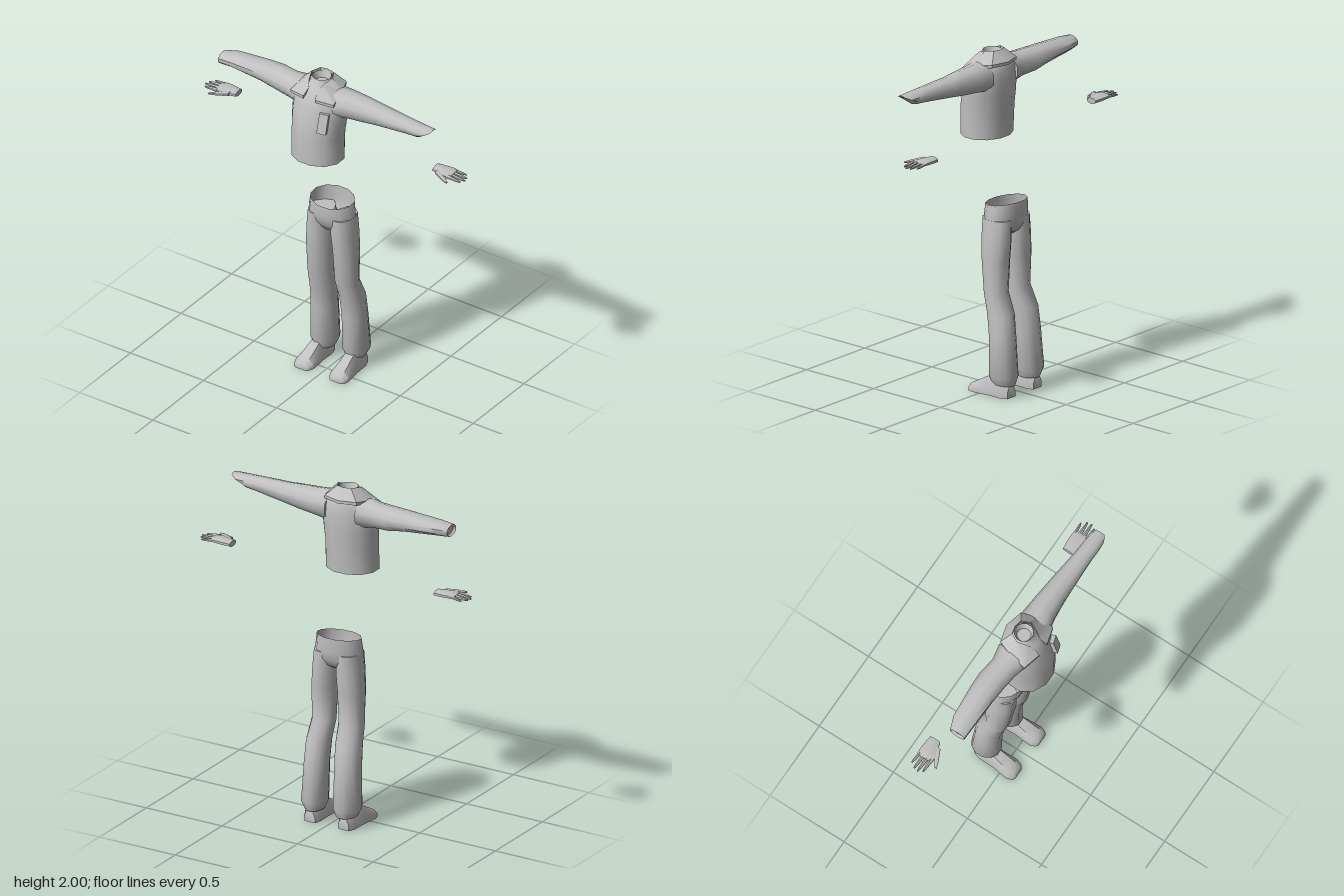
import * as THREE from 'three';
import { toCreasedNormals } from 'three/addons/utils/BufferGeometryUtils.js';

const cloth = new THREE.MeshStandardMaterial({ color: 0xc0c0c0, side: THREE.DoubleSide });
cloth.name = 'plain grey';

// Skin a list of equal-length rings of [x, y, z]; optional caps at both ends.
function loft(name, rings, capStart = true, capEnd = true, crease = 0.8) {
  const n = rings[0].length;
  const pos = rings.flat();
  const idx = [];
  for (let r = 0; r < rings.length - 1; r++) {
    for (let i = 0; i < n; i++) {
      const j = (i + 1) % n;
      const a = r * n + i, b = r * n + j, c = a + n, d = b + n;
      idx.push(a, b, d, a, d, c);
    }
  }
  const last = (rings.length - 1) * n;
  for (let i = 1; i < n - 1; i++) {
    if (capStart) idx.push(0, i + 1, i);
    if (capEnd) idx.push(last, last + i, last + i + 1);
  }
  // Keep faces pointing outward whichever way the rings run
  const mid = new THREE.Box3().setFromPoints(pos.map(p => new THREE.Vector3(...p))).getCenter(new THREE.Vector3());
  let volume = 0;
  const at = k => new THREE.Vector3(...pos[k]).sub(mid);
  for (let k = 0; k < idx.length; k += 3) volume += at(idx[k]).dot(at(idx[k + 1]).cross(at(idx[k + 2])));
  if (volume < 0) idx.reverse();
  const geo = new THREE.BufferGeometry();
  geo.setAttribute('position', new THREE.Float32BufferAttribute(pos.flat(), 3));
  geo.setIndex(idx);
  const mesh = new THREE.Mesh(toCreasedNormals(geo, crease), cloth);
  mesh.name = name;
  return mesh;
}

// n points of an ellipse filling the box [u0, u1] x [v0, v1]
function oval(n, u0, u1, v0, v1, place) {
  return Array.from({ length: n }, (_, i) => {
    const t = (i + 0.5) / n * Math.PI * 2;
    return place((u0 + u1) / 2 + Math.cos(t) * (u1 - u0) / 2, (v0 + v1) / 2 + Math.sin(t) * (v1 - v0) / 2);
  });
}
const level = (y, x0, x1, z0, z1, n = 12) => oval(n, x0, x1, z0, z1, (x, z) => [x, y, z]);
const upright = (x, y0, y1, z0, z1, n = 10) => oval(n, z0, z1, y0, y1, (z, y) => [x, y, z]);

function makeShirt() {
  const shirt = new THREE.Group();
  shirt.name = 'shirt';
  // Body: recessed bottom, hem, chest, shoulders, neck opening
  shirt.add(loft('shirtBody', [
    [1.505, 0.125, -0.02, 0.195], [1.49, 0.16, -0.05, 0.23], [1.66, 0.16, -0.06, 0.23],
    [1.75, 0.168, -0.065, 0.213], [1.84, 0.17, -0.065, 0.19], [1.90, 0.15, -0.06, 0.168],
    [1.935, 0.115, -0.05, 0.145], [1.96, 0.07, -0.02, 0.12], [1.99, 0.055, -0.005, 0.105],
    [1.95, 0.04, 0.01, 0.09],
  ].map(([y, w, z0, z1]) => level(y, -w, w, z0, z1))));

  // Right sleeve with a straight cuff
  shirt.add(loft('rightSleeve', [
    [-0.1, 1.765, 1.94, -0.055, 0.15], [-0.2, 1.78, 1.93, -0.035, 0.125], [-0.3, 1.79, 1.93, -0.05, 0.115],
    [-0.4, 1.81, 1.925, -0.047, 0.11], [-0.6, 1.83, 1.912, -0.03, 0.105], [-0.68, 1.83, 1.90, 0, 0.10],
    [-0.665, 1.84, 1.89, 0.012, 0.088],
  ].map(r => upright(...r))));

  // Left sleeve with an uneven cuff, longer along the top
  const left = [
    [0.1, 1.765, 1.945, -0.055, 0.15], [0.2, 1.78, 1.94, -0.045, 0.125], [0.3, 1.79, 1.935, -0.035, 0.115],
    [0.4, 1.805, 1.925, -0.025, 0.11], [0.6, 1.828, 1.915, 0, 0.105], [0.67, 1.835, 1.91, 0.005, 0.107],
  ].map(r => upright(...r));
  left.push(upright(0.68, 1.837, 1.905, 0.01, 0.107)
    .map(([x, y, z]) => [x + 0.085 * THREE.MathUtils.clamp((y - 1.86) / 0.035, 0, 1), y, z]));
  shirt.add(loft('leftSleeve', left));

  // Folded collar: [inner edge, outer edge] stations from the left point to the centre back
  const half = [
    [[0.03, 1.94, 0.14], [0.04, 1.905, 0.18]],
    [[0.05, 1.975, 0.105], [0.147, 1.893, 0.15]],
    [[0.07, 1.995, 0.05], [0.135, 1.93, 0.045]],
    [[0.045, 2.0, 0], [0.105, 1.94, -0.04]],
    [[0, 2.0, -0.01], [0, 1.94, -0.068]],
  ];
  const mirrored = half.slice(0, -1).reverse().map(s => s.map(([x, y, z]) => [-x, y, z]));
  const down = ([x, y, z]) => [x, y - 0.018, z];
  shirt.add(loft('collar', [...half, ...mirrored].map(([a, b]) => [a, b, down(b), down(a)]), true, true, 0.6));

  // Chest pocket
  const pocket = new THREE.Mesh(new THREE.BoxGeometry(0.054, 0.12, 0.03), cloth);
  pocket.name = 'chestPocket';
  pocket.position.set(0.103, 1.775, 0.188);
  pocket.rotation.set(-0.25, 0.3, 0);
  shirt.add(pocket);
  return shirt;
}

function makeTrousers() {
  const trousers = new THREE.Group();
  trousers.name = 'trousers';
  // Hips: open waist tilted down to the front, closing at the crotch
  const waist = level(1.118, -0.137, 0.135, -0.16, 0.05).map(([x, y, z]) => [x, y - (z + 0.055) * 0.12, z]);
  trousers.add(loft('hips', [
    waist, level(1.04, -0.148, 0.146, -0.158, 0.052), level(0.99, -0.15, 0.15, -0.15, 0.043),
    level(0.95, -0.09, 0.09, -0.13, 0.02), level(0.93, -0.03, 0.03, -0.10, 0),
  ], false, true));

  for (const [side, s] of [['left', 1], ['right', -1]]) {
    const inset = s * 0.007;
    // Leg: thigh, knee, flared shin, gathered cuff
    trousers.add(loft(side + 'Leg', [
      [1.03, 0.008, 0.145, -0.148, 0.04], [0.92, 0.003, 0.157, -0.15, 0.04], [0.8, 0.012, 0.165, -0.145, 0.03],
      [0.6, 0.015, 0.165, -0.13, 0.008], [0.48, 0.022, 0.175, -0.185, -0.022], [0.35, 0.026, 0.18, -0.2, -0.04],
      [0.12, 0.028, 0.187, -0.222, -0.043], [0.07, 0.05, 0.16, -0.205, -0.06], [0.09, 0.07, 0.15, -0.18, -0.08],
    ].map(([y, x0, x1, z0, z1]) => level(y, s * (x0 + inset), s * x1, z0, z1))));

    // Shoe: heel to toe as [z, half width, height], flat sole
    trousers.add(loft(side + 'Shoe', [
      [-0.19, 0.035, 0.07], [-0.15, 0.05, 0.11], [-0.05, 0.05, 0.11], [0, 0.056, 0.082],
      [0.05, 0.06, 0.055], [0.08, 0.05, 0.038], [0.092, 0.035, 0.025],
    ].map(([z, w, h]) => [[-1, 0], [1, 0], [1, 0.45], [0.55, 1], [-0.55, 1], [-1, 0.45]]
      .map(([u, v]) => [s * (0.118 + z * 0.03) + u * w, v * h, z]))));
  }
  return trousers;
}

function makeHand(side, s) {
  const hand = new THREE.Group();
  hand.name = side + 'Hand';
  hand.add(loft('palm', [
    [0.675, 1.524, 1.56, -0.137, -0.065], [0.72, 1.525, 1.562, -0.142, -0.05],
    [0.77, 1.53, 1.562, -0.145, -0.035], [0.805, 1.533, 1.555, -0.142, -0.037],
  ].map(([x, ...r]) => upright(s * x, ...r, 8))));
  // Digits: [root x, root z, tip x, tip z, radius]
  const digits = [
    [0.79, -0.128, 0.86, -0.136, 0.01], [0.79, -0.103, 0.882, -0.107, 0.012],
    [0.79, -0.078, 0.888, -0.08, 0.012], [0.79, -0.053, 0.872, -0.053, 0.012],
    [0.71, -0.06, 0.815, -0.006, 0.02],
  ];
  digits.forEach(([x0, z0, x1, z1, r], i) => {
    const rings = [[0, 1], [0.7, 0.75], [1, 0.4]].map(([t, k]) => {
      const z = z0 + (z1 - z0) * t, y = 1.545 - 0.006 * t, h = Math.min(r, 0.013) * k;
      return upright(s * (x0 + (x1 - x0) * t), y - h, y + h, z - r * k, z + r * k, 6);
    });
    hand.add(loft(i === 4 ? 'thumb' : 'finger' + (i + 1), rings));
  });
  return hand;
}

export function createModel() {
  const model = new THREE.Group();
  model.name = 'clothedFigure';
  model.add(makeShirt(), makeTrousers(), makeHand('left', 1), makeHand('right', -1));
  return model;
}
